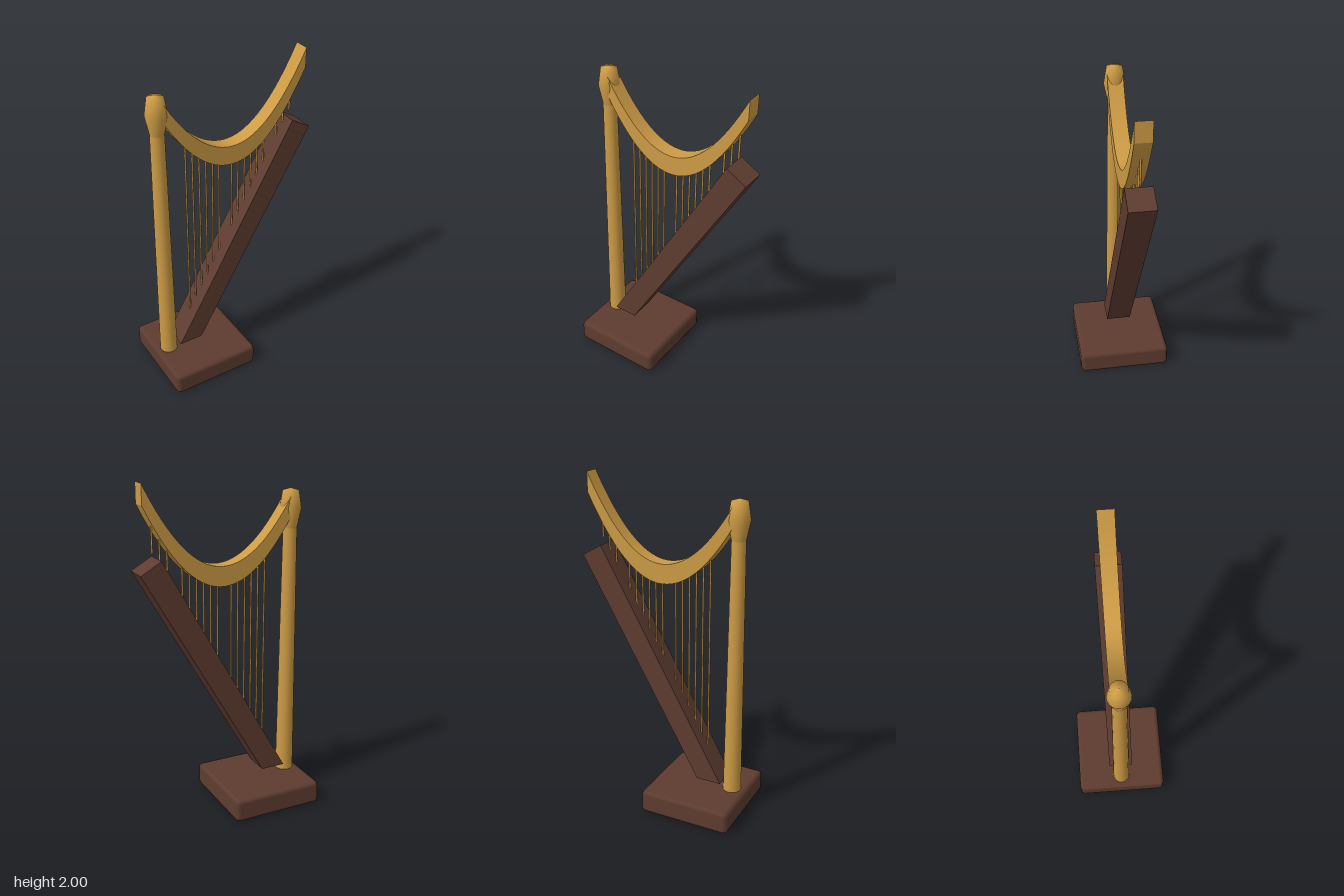
import * as THREE from 'three';
import { RoundedBoxGeometry } from 'three/addons/geometries/RoundedBoxGeometry.js';

const wood = new THREE.MeshStandardMaterial({ color: 0x5e3c30 });
wood.name = 'dark wood';
const brass = new THREE.MeshStandardMaterial({ color: 0xcd9b45 });
brass.name = 'golden brass';

// Underside of the curved neck at position x
const neckLow = 0.077;
const neckUnder = (x) => 1.397 + (x < neckLow ? 1.97 : 2.15) * (x - neckLow) ** 2;
// Upper face of the leaning soundbox at position x
const boxTop = (x) => 0.2 + 1.762 * (x + 0.326);

function add(parent, name, geometry, material, x = 0, y = 0, z = 0) {
  const mesh = new THREE.Mesh(geometry, material);
  mesh.name = name;
  mesh.position.set(x, y, z);
  parent.add(mesh);
  return mesh;
}

// Flat outline in x/y, thickened symmetrically along z
function slab(points, depth) {
  const shape = new THREE.Shape(points.map(([x, y]) => new THREE.Vector2(x, y)));
  return new THREE.ExtrudeGeometry(shape, { depth, bevelEnabled: false }).translate(0, 0, -depth / 2);
}

// Neck: curved bar with smooth normals along its top and underside
function neckGeometry(x0, x1, height, depth, steps) {
  const pos = [], nor = [], idx = [];
  const quad = (corners, normals) => {
    const b = pos.length / 3;
    corners.forEach((c, i) => { pos.push(...c); nor.push(...normals[i]); });
    idx.push(b, b + 1, b + 2, b, b + 2, b + 3);
  };
  const d = depth / 2;
  const up = (x) => {
    const s = 2 * (x < neckLow ? 1.97 : 2.15) * (x - neckLow), l = Math.hypot(s, 1);
    return [-s / l, 1 / l, 0];
  };
  const down = (x) => up(x).map((v) => -v);
  const same = (n) => [n, n, n, n];
  for (let i = 0; i < steps; i++) {
    const a = x0 + ((x1 - x0) * i) / steps, b = x0 + ((x1 - x0) * (i + 1)) / steps;
    const la = neckUnder(a), lb = neckUnder(b), ha = la + height, hb = lb + height;
    quad([[a, ha, d], [b, hb, d], [b, hb, -d], [a, ha, -d]], [up(a), up(b), up(b), up(a)]);
    quad([[a, la, -d], [b, lb, -d], [b, lb, d], [a, la, d]], [down(a), down(b), down(b), down(a)]);
    quad([[a, la, d], [b, lb, d], [b, hb, d], [a, ha, d]], same([0, 0, 1]));
    quad([[b, lb, -d], [a, la, -d], [a, ha, -d], [b, hb, -d]], same([0, 0, -1]));
  }
  const l0 = neckUnder(x0), l1 = neckUnder(x1);
  quad([[x1, l1, d], [x1, l1, -d], [x1, l1 + height, -d], [x1, l1 + height, d]], same([1, 0, 0]));
  quad([[x0, l0, -d], [x0, l0, d], [x0, l0 + height, d], [x0, l0 + height, -d]], same([-1, 0, 0]));
  const g = new THREE.BufferGeometry();
  g.setAttribute('position', new THREE.Float32BufferAttribute(pos, 3));
  g.setAttribute('normal', new THREE.Float32BufferAttribute(nor, 3));
  g.setIndex(idx);
  return g;
}

export function createModel() {
  const model = new THREE.Group();
  model.name = 'harp';

  // The whole instrument is turned on its stand
  const harp = new THREE.Group();
  harp.name = 'turnedHarp';
  harp.rotation.y = THREE.MathUtils.degToRad(20);
  harp.position.set(-0.0226, 0, -0.062);
  model.add(harp);

  // Square base with softened edges
  add(harp, 'base', new RoundedBoxGeometry(0.57, 0.143, 0.57, 1, 0.027), wood, -0.179, 0.0715, 0);

  // Leaning soundbox, cut level at the foot and square at the top
  add(harp, 'soundbox', slab([[-0.326, 0.2], [-0.174, 0.2], [0.583, 1.515], [0.46, 1.585]], 0.153), wood);

  // Tapered pillar
  add(harp, 'pillar', new THREE.CylinderGeometry(0.041, 0.055, 1.6, 20), brass, -0.375, 0.92, 0);

  // Flared capital
  const capital = [[0.041, 1.69], [0.064, 1.805], [0.048, 1.906], [0.0, 1.92]];
  add(harp, 'capital', new THREE.LatheGeometry(capital.map(([r, y]) => new THREE.Vector2(r, y)), 20), brass, -0.375);

  // Curved neck
  add(harp, 'neck', neckGeometry(-0.36, 0.552, 0.117, 0.094, 32), brass);

  // Strings in three clusters, running from soundbox to neck
  const strings = new THREE.Group();
  strings.name = 'strings';
  harp.add(strings);
  for (let i = 0; i < 17; i++) {
    if (i === 6 || i === 13) continue;
    const x = -0.21 + 0.0435 * i;
    const low = boxTop(x) - 0.015, high = neckUnder(x) + 0.02;
    add(strings, 'string', new THREE.CylinderGeometry(0.006, 0.006, high - low, 8), brass, x, (low + high) / 2, 0);
  }

  return model;
}
